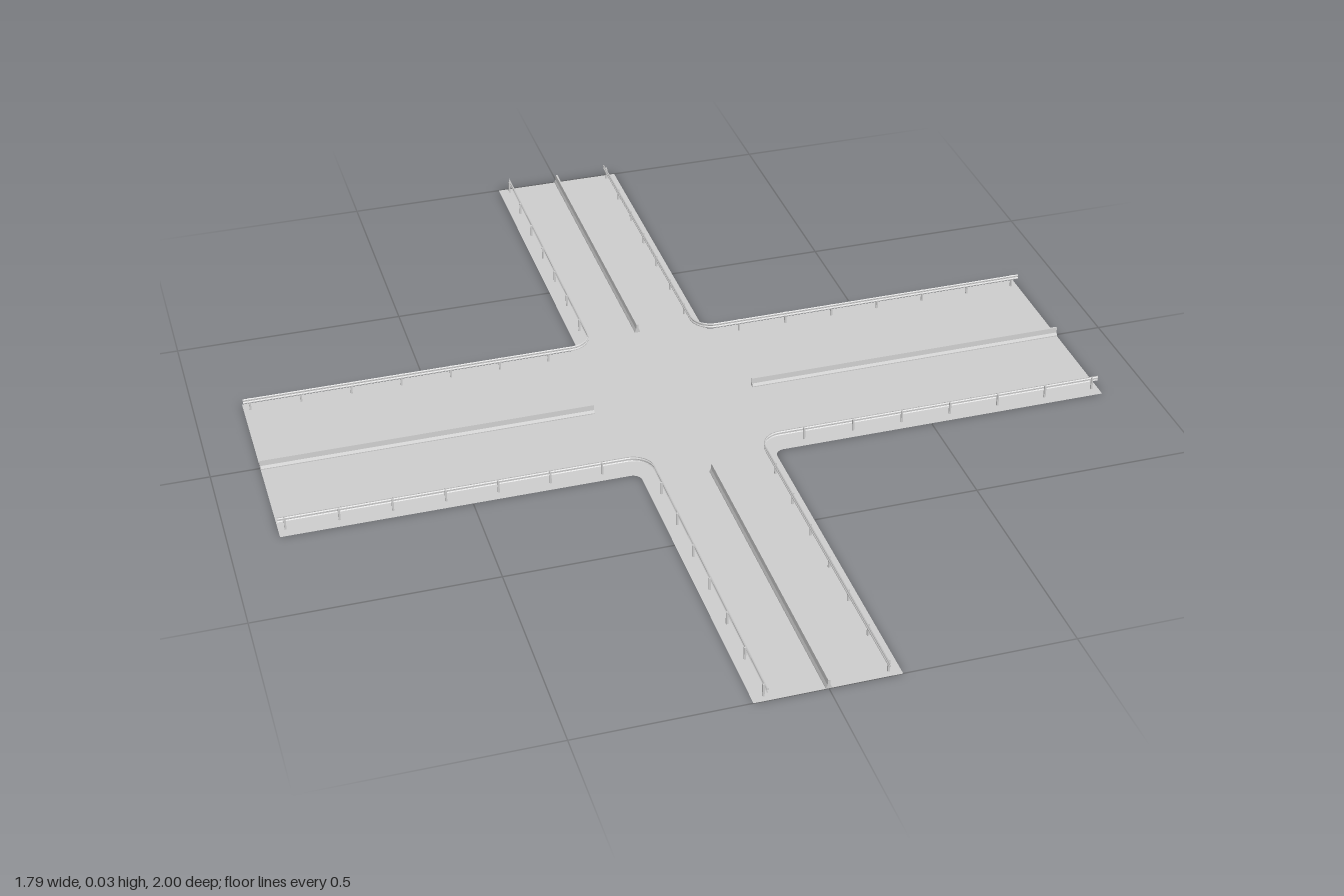
import * as THREE from 'three';

const X = 0.896, Z = 1;              // arm ends
const EDGE_X = 0.147, EDGE_Z = 0.247; // road edges
const FILLET = 0.02;
const CX = EDGE_X + FILLET, CZ = EDGE_Z + FILLET; // corner arc centre
const RAIL_R = 0.046;                // rail arc radius around the same centre
const QUADRANTS = [[1, 1], [-1, 1], [-1, -1], [1, -1]];

const material = new THREE.MeshStandardMaterial({ color: 0xcccccc, side: THREE.DoubleSide, flatShading: true });

function addMesh(parent, name, geometry) {
  const mesh = new THREE.Mesh(geometry, material);
  mesh.name = name;
  parent.add(mesh);
  return mesh;
}

// Points of one corner line, from the side arm round to the long arm (first quadrant)
function cornerPath(radius, steps = 8) {
  const points = [[X, CZ - radius]];
  for (let i = 0; i <= steps; i++) {
    const a = -Math.PI / 2 - (i / steps) * Math.PI / 2;
    points.push([CX + radius * Math.cos(a), CZ + radius * Math.sin(a)]);
  }
  points.push([CX - radius, Z]);
  return points;
}

// Flat cross-shaped road with rounded inner corners
function roadGeometry() {
  const outline = [];
  QUADRANTS.forEach(([sx, sz], i) => {
    const part = cornerPath(FILLET).map(([x, z]) => new THREE.Vector2(x * sx, z * sz));
    outline.push(...(i % 2 ? part.reverse() : part));
  });
  return new THREE.ShapeGeometry(new THREE.Shape(outline)).rotateX(-Math.PI / 2);
}

// Corrugated rail: each profile point is [offset towards the road, height]
const RAIL_PROFILE = [[0, 0.018], [0.002, 0.0195], [0.002, 0.0215], [0, 0.023],
  [0, 0.025], [0.002, 0.0265], [0.002, 0.0285], [0, 0.03]];

function railGeometry(sx, sz) {
  const positions = [], index = [], n = RAIL_PROFILE.length;
  const rings = RAIL_PROFILE.map(([off]) => cornerPath(RAIL_R + off));
  const count = rings[0].length;
  for (let i = 0; i < count; i++) {
    for (let j = 0; j < n; j++) {
      const [x, z] = rings[j][i];
      positions.push(x * sx, RAIL_PROFILE[j][1], z * sz);
      if (i < count - 1 && j < n - 1) {
        const a = i * n + j, b = a + n;
        if (sx * sz > 0) index.push(a, a + 1, b, b, a + 1, b + 1);
        else index.push(a, b, a + 1, b, b + 1, a + 1);
      }
    }
  }
  const g = new THREE.BufferGeometry();
  g.setAttribute('position', new THREE.Float32BufferAttribute(positions, 3));
  g.setIndex(index);
  g.computeVertexNormals();
  return g;
}

// Concrete divider with a wide foot and a narrow top, running along +z
function dividerGeometry(length) {
  const half = [[0.006, 0], [0.006, 0.002], [0.003, 0.008], [0.002, 0.02]];
  const points = [...half, ...half.map(([x, y]) => [-x, y]).reverse()];
  const shape = new THREE.Shape(points.map(([x, y]) => new THREE.Vector2(x, y)));
  return new THREE.ExtrudeGeometry(shape, { depth: length, bevelEnabled: false });
}

export function createModel() {
  const model = new THREE.Group();
  model.name = 'crossroads';
  addMesh(model, 'road', roadGeometry());

  // Guard rails with posts behind them
  const post = new THREE.BoxGeometry(0.004, 0.028, 0.004);
  for (const [sx, sz] of QUADRANTS) {
    const guard = new THREE.Group();
    guard.name = 'guardRail';
    addMesh(guard, 'railBeam', railGeometry(sx, sz));
    const behind = RAIL_R - 0.002;
    for (let i = 0; i < 7; i++) {
      const t = i * 0.11;
      addMesh(guard, 'railPost', post).position.set((X - 0.015 - t) * sx, 0.014, (CZ - behind) * sz);
      addMesh(guard, 'railPost', post).position.set((CX - behind) * sx, 0.014, (Z - 0.015 - t) * sz);
    }
    model.add(guard);
  }

  // Central dividers, one on each arm
  for (let i = 0; i < 4; i++) {
    const start = i % 2 ? 0.178 : 0.28, end = i % 2 ? X : Z;
    const holder = new THREE.Group();
    holder.name = 'divider';
    holder.rotation.y = i * Math.PI / 2;
    addMesh(holder, 'dividerWall', dividerGeometry(end - start)).position.z = start;
    model.add(holder);
  }
  return model;
}
